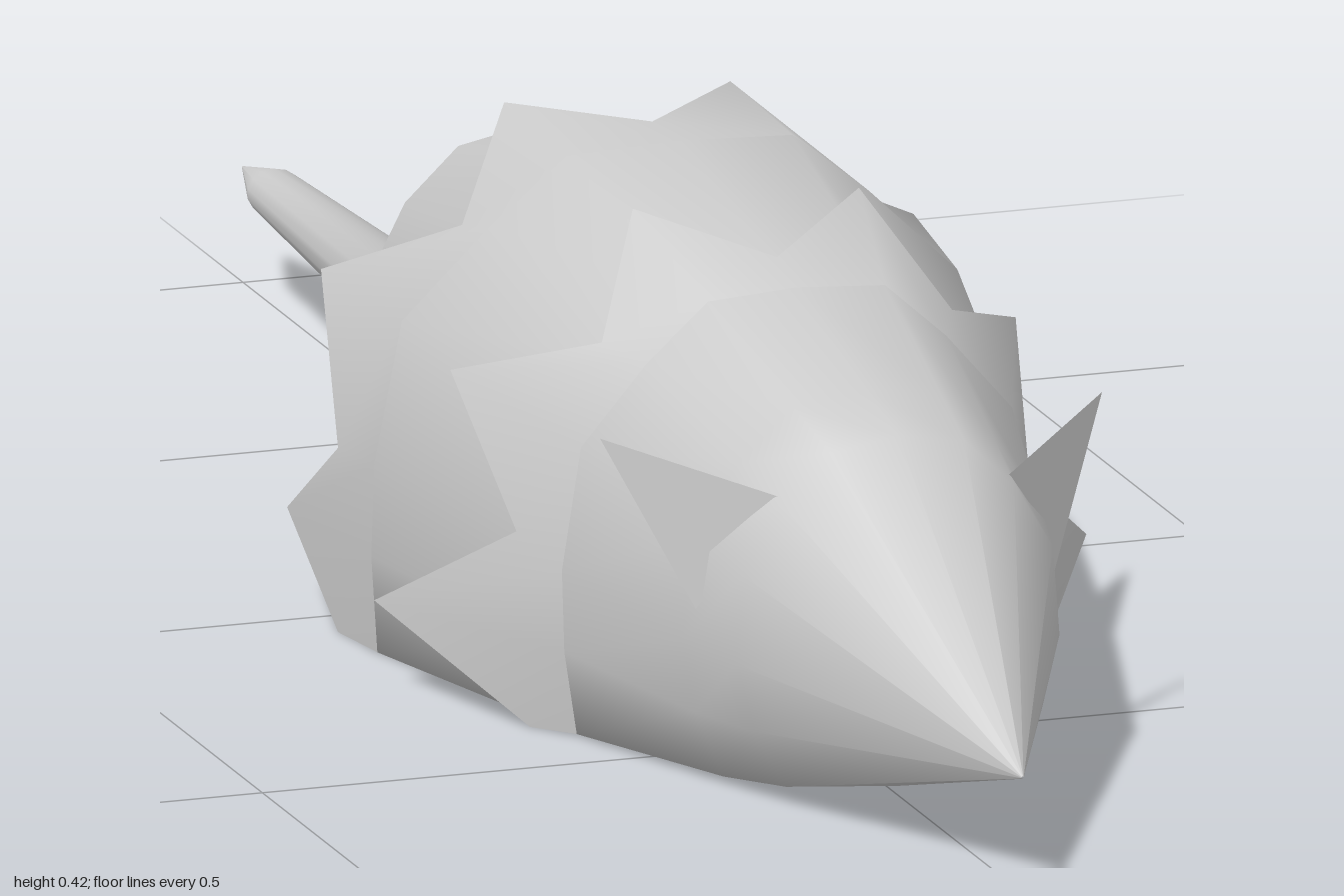
import * as THREE from 'three';

const material = new THREE.MeshStandardMaterial({ color: 0xcccccc });

// Half of a cross-section, top centre to bottom centre: [x / half width, y / height]
const BOXY = [[0, 1], [0.37, 0.99], [0.62, 0.86], [0.91, 0.68], [1, 0.39], [1.01, 0.2], [0.99, 0], [0, 0]];

// Section at z; round blends the boxy outline towards an ellipse
function section(z, width, bottom, top, round) {
  return BOXY.map(([x, y], i) => {
    const a = (i / 7) * Math.PI;
    const sx = THREE.MathUtils.lerp(x, Math.sin(a), round);
    const sy = THREE.MathUtils.lerp(y, 0.5 + 0.5 * Math.cos(a), round);
    return [sx * width, bottom + sy * (top - bottom), z];
  });
}

const flip = ([x, y, z]) => [-x, y, z];

// Skin between rings that run from front to back
function loft(name, rings, closed) {
  const n = rings[0].length;
  const index = [];
  for (let r = 0; r < rings.length - 1; r++) {
    for (let j = 0; j < (closed ? n : n - 1); j++) {
      const a = r * n + j, b = r * n + (j + 1) % n;
      index.push(a, b, a + n, b, b + n, a + n);
    }
  }
  const geometry = new THREE.BufferGeometry();
  geometry.setAttribute('position', new THREE.Float32BufferAttribute(rings.flat(2), 3));
  geometry.setIndex(index);
  geometry.computeVertexNormals();
  const mesh = new THREE.Mesh(geometry, material);
  mesh.name = name;
  return mesh;
}

const closedRing = (half) => [...half, ...half.slice(1, 7).reverse().map(flip)];
const openRing = (half) => [...half.slice(1, 7).reverse().map(flip), ...half.slice(0, 7)];

export function createModel() {
  const model = new THREE.Group();
  model.name = 'spikyCreature';

  // Body from nose to tail tip
  const chest = section(0.42, 0.208, 0, 0.372, 0.1);
  const belly = section(0.12, 0.27, 0, 0.42, 0);
  const nose = section(1, 0.001, 0.099, 0.101, 1);
  const body = [
    nose,
    section(0.68, 0.145, 0.008, 0.312, 0.55),
    section(0.6, 0.165, 0, 0.33, 0.4),
    chest,
    belly,
    section(0, 0.24, 0, 0.386, 0.15),
    section(-0.27, 0.148, 0, 0.33, 0.7),
  ];
  model.add(loft('body', body.map(closedRing), true));

  const tail = [
    section(-0.27, 0.148, 0, 0.33, 0.7),
    section(-0.44, 0.046, 0.058, 0.137, 1),
    section(-0.92, 0.024, 0.08, 0.12, 1),
    section(-1, 0.001, 0.099, 0.101, 1),
  ];
  model.add(loft('tail', tail.map(closedRing), true));

  // Collars of backward spikes: the rim alternates valley and tip
  const frontRim = [
    [0, 0.385, 0.37], [0.1, 0.415, 0.29], [0.155, 0.325, 0.37], [0.25, 0.28, 0.257],
    [0.227, 0.165, 0.36], [0.315, 0.084, 0.25], [0.222, 0, 0.38],
  ];
  const backRim = [
    [0, 0.418, 0.05], [0.1, 0.42, -0.04], [0.17, 0.345, 0.055], [0.262, 0.29, -0.04],
    [0.278, 0.16, 0.05], [0.292, 0.086, -0.04], [0.278, 0, 0.05],
  ];
  model.add(loft('frontSpikeCollar', [openRing(chest), openRing(frontRim)], false));
  model.add(loft('backSpikeCollar', [openRing(belly), openRing(backRim)], false));

  // Ear-like flaps beside the head
  const ear = [[0.1, 0.265, 0.67], [0.158, 0.16, 0.62], [0.222, 0.298, 0.56]];
  for (const [name, points] of [['leftEar', ear], ['rightEar', ear.map(flip).reverse()]]) {
    const geometry = new THREE.BufferGeometry();
    geometry.setAttribute('position', new THREE.Float32BufferAttribute(points.flat(), 3));
    geometry.computeVertexNormals();
    const mesh = new THREE.Mesh(geometry, material);
    mesh.name = name;
    model.add(mesh);
  }

  return model;
}
